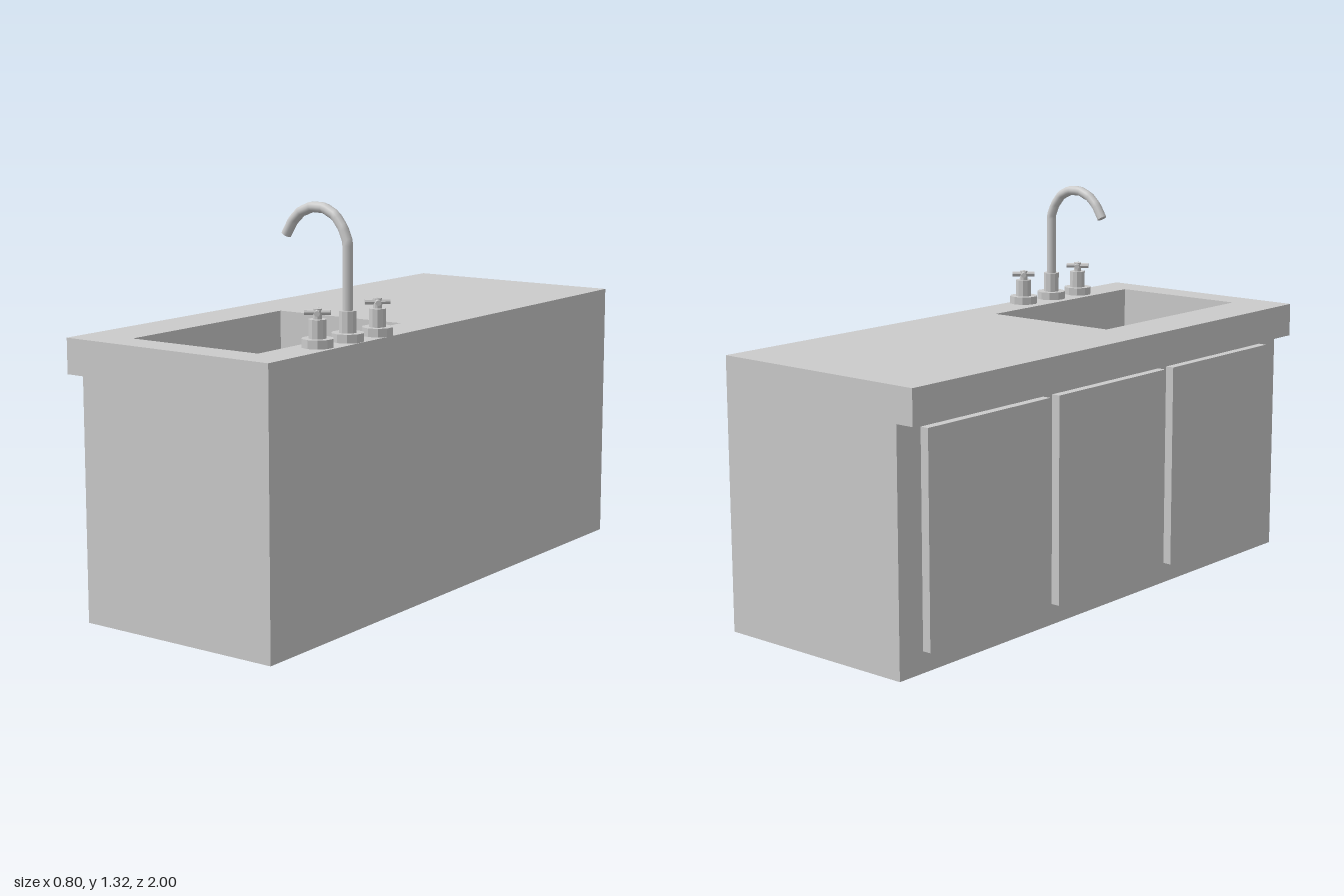
import * as THREE from 'three';

const mat = new THREE.MeshStandardMaterial({ color: 0xcccccc, side: THREE.DoubleSide });
const flatMat = new THREE.MeshStandardMaterial({ color: 0xcccccc, flatShading: true });

function add(parent, name, geometry, material = mat) {
  const mesh = new THREE.Mesh(geometry, material);
  mesh.name = name;
  parent.add(mesh);
  return mesh;
}

// Horizontal slab between two heights, its front end slightly skewed,
// optionally pierced by the basin opening.
function slab(xMin, y0, y1, basin) {
  const xMax = 0.395;
  const pts = [[xMin, 1], [xMin, -0.987], [xMax, -0.997], [xMax, 1]];
  const shape = new THREE.Shape(pts.map(p => new THREE.Vector2(...p)));
  if (basin) {
    const hole = [[-0.228, -0.135], [0.265, -0.135], [0.265, -0.88], [-0.228, -0.88]];
    shape.holes.push(new THREE.Path(hole.map(p => new THREE.Vector2(...p))));
  }
  const g = new THREE.ExtrudeGeometry(shape, { depth: y1 - y0, bevelEnabled: false });
  return g.rotateX(-Math.PI / 2).translate(0, y0, 0);
}

// Upright cylinder standing on height y0
function disc(r, y0, y1) {
  return new THREE.CylinderGeometry(r, r, y1 - y0, 10).translate(0, (y0 + y1) / 2, 0);
}

function tapHandle(name, x, z, turn) {
  const tap = new THREE.Group();
  tap.name = name;
  add(tap, 'handleBase', disc(0.05, 0.905, 0.932), flatMat);
  add(tap, 'handleStem', disc(0.028, 0.932, 0.99), flatMat);
  add(tap, 'handleNeck', disc(0.014, 0.99, 1.022), flatMat);
  // Cross grip
  for (let i = 0; i < 2; i++) {
    const arm = new THREE.CylinderGeometry(0.009, 0.009, 0.08, 8).rotateZ(Math.PI / 2);
    const bar = add(tap, 'handleCrossArm', arm, flatMat);
    bar.position.y = 1.011;
    bar.rotation.y = turn + i * Math.PI / 2;
  }
  tap.position.set(x, 0, z);
  return tap;
}

export function createModel() {
  const model = new THREE.Group();
  model.name = 'sinkCabinet';

  // Cabinet: the top of the lower block is the basin floor
  const floorY = 0.615, counterY = 0.79;
  add(model, 'cabinetBody', slab(-0.34, 0, floorY, false));
  add(model, 'basinWalls', slab(-0.34, floorY, counterY, true));
  add(model, 'countertop', slab(-0.405, counterY, 0.905, true));

  // Three door panels along the -x face
  for (let i = 0; i < 3; i++) {
    const door = add(model, 'door', new THREE.BoxGeometry(0.03, 0.695, 0.565));
    door.position.set(-0.355, 0.4175, -0.615 + i * 0.61);
  }

  // Spout with a faceted gooseneck
  const faucet = new THREE.Group();
  faucet.name = 'faucet';
  add(faucet, 'spoutBase', disc(0.052, 0.905, 0.932), flatMat);
  add(faucet, 'spoutCollar', disc(0.028, 0.932, 1.0), flatMat);
  const bend = [[0, 0.98], [0, 1.21], [-0.017, 1.25], [-0.047, 1.287], [-0.09, 1.308],
    [-0.14, 1.309], [-0.185, 1.291], [-0.217, 1.262], [-0.244, 1.218]];
  const path = new THREE.CurvePath();
  for (let i = 1; i < bend.length; i++) {
    path.add(new THREE.LineCurve3(
      new THREE.Vector3(...bend[i - 1], 0), new THREE.Vector3(...bend[i], 0)));
  }
  add(faucet, 'spoutTube', new THREE.TubeGeometry(path, 36, 0.017, 10, false));
  // Closed outlet end
  const cap = add(faucet, 'spoutOutlet', new THREE.CircleGeometry(0.017, 10));
  cap.position.set(-0.244, 1.218, 0);
  cap.lookAt(-0.271, 1.174, 0);
  faucet.position.set(0.342, 0, 0.535);
  faucet.rotation.y = -0.05;
  model.add(faucet);

  model.add(tapHandle('rearTap', 0.348, 0.385, 0.7));
  model.add(tapHandle('frontTap', 0.335, 0.68, 0.6));
  return model;
}
